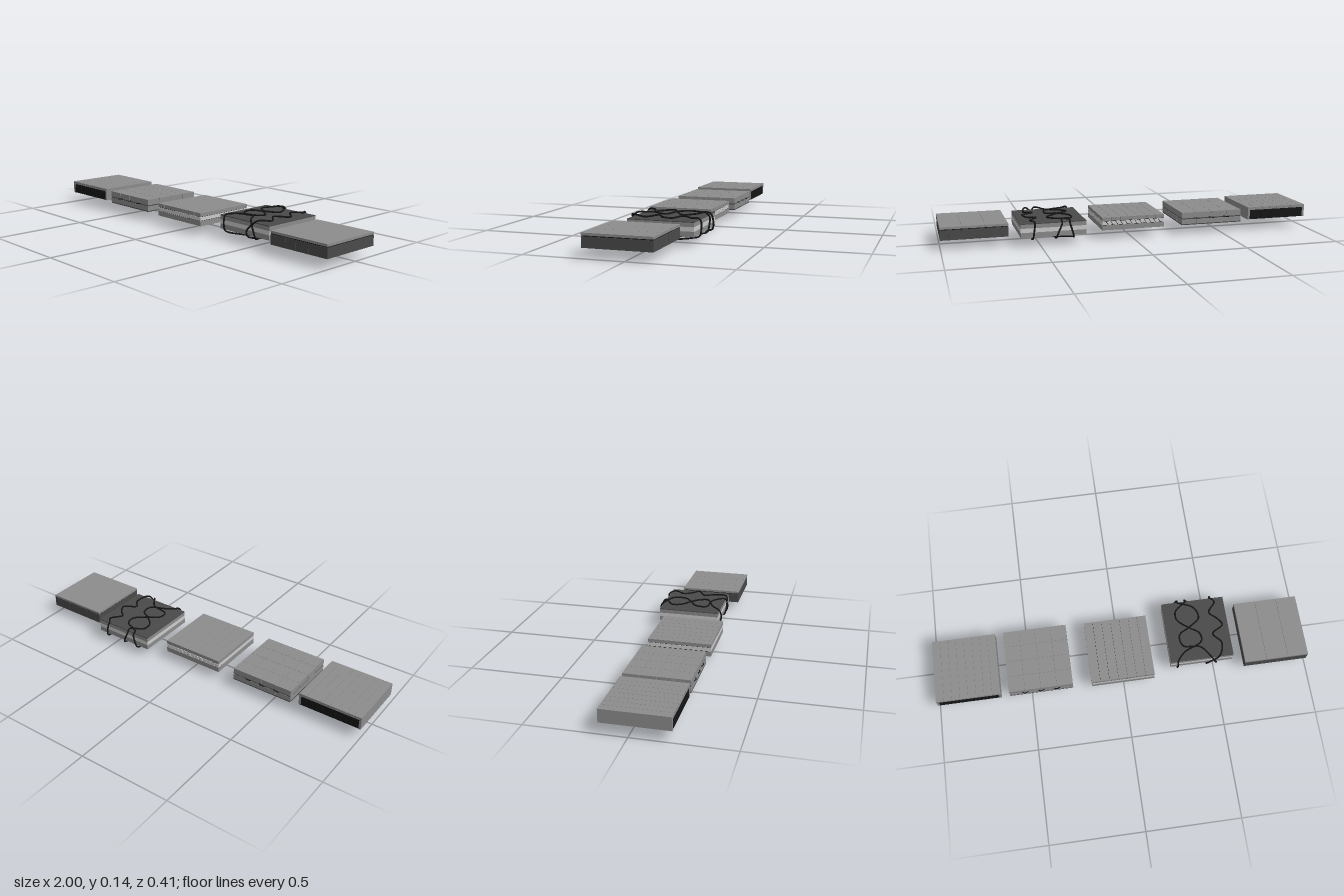
import * as THREE from 'three';

const paint = (color) => new THREE.MeshStandardMaterial({ color });
const mid = paint(0x8c8c8c), light = paint(0xcccccc), dark = paint(0x4a4a4a), black = paint(0x161616);
const S = 0.34; // side of every square sample

function add(group, name, geometry, material) {
  const mesh = new THREE.Mesh(geometry, material);
  mesh.name = name;
  group.add(mesh);
  return mesh;
}

// Box given by its lower and upper limits
function box(group, name, material, x0, x1, y0, y1, z0, z1) {
  const mesh = add(group, name, new THREE.BoxGeometry(x1 - x0, y1 - y0, z1 - z0), material);
  mesh.position.set((x0 + x1) / 2, (y0 + y1) / 2, (z0 + z1) / 2);
  return mesh;
}

// Layer split into a grid of pieces with hairline seams
function tiles(group, name, material, nx, nz, x0, x1, y0, y1, z0, z1) {
  const gap = 0.0006, w = (x1 - x0) / nx, d = (z1 - z0) / nz;
  for (let i = 0; i < nx; i++) for (let j = 0; j < nz; j++) {
    box(group, name, material,
      x0 + i * w + (i ? gap : 0), x0 + (i + 1) * w - (i < nx - 1 ? gap : 0), y0, y1,
      z0 + j * d + (j ? gap : 0), z0 + (j + 1) * d - (j < nz - 1 ? gap : 0));
  }
}

function sample(parent, name, x, z) {
  const group = new THREE.Group();
  group.name = name;
  group.position.set(x, 0, z);
  parent.add(group);
  return group;
}

export function createModel() {
  const model = new THREE.Group();
  model.name = 'panelSamples';
  const h = S / 2;

  // Ribbed sample: plank top, side walls, black ribs showing at both ends
  const ribbed = sample(model, 'ribbedPanel', -0.83, 0.032);
  tiles(ribbed, 'topPlank', mid, 8, 1, -h, h, 0.115, 0.13, -h, h);
  for (const s of [-1, 1]) {
    const x = s * (h - 0.006);
    box(ribbed, 'sideWall', mid, x - 0.006, x + 0.006, 0.062, 0.115, -h, h);
  }
  tiles(ribbed, 'rib', black, 10, 1, -h + 0.012, h - 0.012, 0.063, 0.115, -h + 0.001, h - 0.001);

  // Gridded sample: two layers of square tiles with small clips at the seams
  const gridded = sample(model, 'griddedPanel', -0.445, 0.028);
  tiles(gridded, 'topTile', mid, 4, 4, -h, h, 0.092, 0.123, -h, h);
  box(gridded, 'core', dark, -h + 0.002, h - 0.002, 0.086, 0.092, -h + 0.002, h - 0.002);
  tiles(gridded, 'lowerTile', mid, 4, 4, -h, h, 0.06, 0.086, -h, h);
  tiles(gridded, 'bottomTile', dark, 4, 4, -h, h, 0.055, 0.06, -h, h);
  for (const i of [-1, 0, 1]) for (const s of [-1, 1]) {
    const curve = new THREE.CatmullRomCurve3([
      new THREE.Vector3(i * S / 4 - 0.018, 0.087, s * (h - 0.002)),
      new THREE.Vector3(i * S / 4, 0.09, s * (h + 0.005)),
      new THREE.Vector3(i * S / 4 + 0.018, 0.093, s * (h - 0.002)),
    ]);
    add(gridded, 'seamClip', new THREE.TubeGeometry(curve, 10, 0.0025, 6), black);
  }

  // Sandwich sample: two skins around a core of slanted cells
  const sandwich = sample(model, 'sandwichPanel', -0.005, 0.034);
  tiles(sandwich, 'topStrip', mid, 7, 1, -h, h, 0.102, 0.121, -h, h);
  box(sandwich, 'bottomSkin', mid, -h, h, 0.053, 0.079, -h, h);
  box(sandwich, 'coreFill', black, -h + 0.003, h - 0.003, 0.079, 0.102, -h + 0.003, h - 0.003);
  const cells = 13, pitch = S / cells, lean = 0.012;
  for (let i = 0; i < cells; i++) {
    const a = -h + i * pitch + 0.0015, b = a + pitch - 0.003;
    const left = i ? lean / 2 : 0, right = i < cells - 1 ? lean / 2 : 0;
    const cell = new THREE.Shape([
      new THREE.Vector2(a - left, 0.081), new THREE.Vector2(b - right, 0.081),
      new THREE.Vector2(b + right, 0.1), new THREE.Vector2(a + left, 0.1),
    ]);
    const geometry = new THREE.ExtrudeGeometry(cell, { depth: S, bevelEnabled: false });
    add(sandwich, 'coreCell', geometry.translate(0, 0, -h), light);
  }

  // Wired sample: dark top over banded layers, wrapped by loose wires
  const wired = sample(model, 'wiredPanel', 0.432, -0.016);
  box(wired, 'lowerLayer', mid, -h, h, 0.052, 0.078, -h, h);
  box(wired, 'middleLayer', light, -h, h, 0.078, 0.1, -h, h);
  box(wired, 'upperLayer', mid, -h, h, 0.1, 0.121, -h, h);
  box(wired, 'topSheet', dark, -h, h, 0.121, 0.125, -h, h);

  // Each wire: winding top run as [x, z], then x under the back, middle and front
  const wires = [
    { top: [[0.3, 0.155], [0.34, 0.11], [0.44, 0.06], [0.44, 0.01], [0.39, -0.025], [0.33, -0.08],
      [0.33, -0.13], [0.39, -0.18]], under: [0.42, 0.37, 0.3] },
    { top: [[0.48, 0.155], [0.43, 0.09], [0.34, 0.07], [0.33, 0.01], [0.39, -0.03], [0.45, -0.08],
      [0.43, -0.14], [0.35, -0.18]], under: [0.33, 0.42, 0.51] },
    { top: [[0.525, 0.155], [0.55, 0.08], [0.51, 0.025], [0.57, -0.02], [0.55, -0.06], [0.51, -0.1],
      [0.55, -0.16], [0.53, -0.185]], under: [0.54, 0.5, 0.46] },
  ];
  wires.forEach(({ top, under }, n) => {
    const v = (x, y, z) => new THREE.Vector3(x - 0.432, y, z + 0.016);
    const points = top.map(([x, z], i) =>
      v(x, 0.13 + 0.007 * Math.abs(Math.sin(i * 1.1 + n)), z));
    const [bx, mx, fx] = under, endX = top[top.length - 1][0];
    points.push(
      v(endX, 0.12, -0.197), v((endX + bx) / 2, 0.085, -0.201), v(bx, 0.048, -0.194),
      v(bx, 0.036, -0.15), v((bx + mx) / 2, 0.02 + n * 0.002, -0.08), v(mx, 0.008 + n * 0.005, 0),
      v((mx + fx) / 2, 0.022 + n * 0.003, 0.08), v(fx, 0.046, 0.155),
      v(fx, 0.075, 0.166), v((fx + top[0][0]) / 2, 0.11, 0.165));
    const curve = new THREE.CatmullRomCurve3(points, true);
    add(wired, 'wire', new THREE.TubeGeometry(curve, 160, 0.0045, 8, true), black);
  });

  // Block sample: three cover panels over a row of dark blocks
  const blocks = sample(model, 'blockPanel', 0, 0.035);
  const rows = (name, material, edges, y0, y1) => {
    for (let i = 0; i < edges.length - 1; i++) {
      box(blocks, name, material, edges[i] + (i ? 0.001 : 0), edges[i + 1], y0, y1, -h, h);
    }
  };
  rows('coverPanel', mid, [0.657, 0.773, 0.89, 1], 0.109, 0.121);
  box(blocks, 'spacer', black, 0.66, 0.998, 0.105, 0.109, -h + 0.002, h - 0.002);
  rows('block', dark, [0.657, 0.69, 0.75, 0.815, 0.89, 0.955, 1], 0.053, 0.105);

  return model;
}
